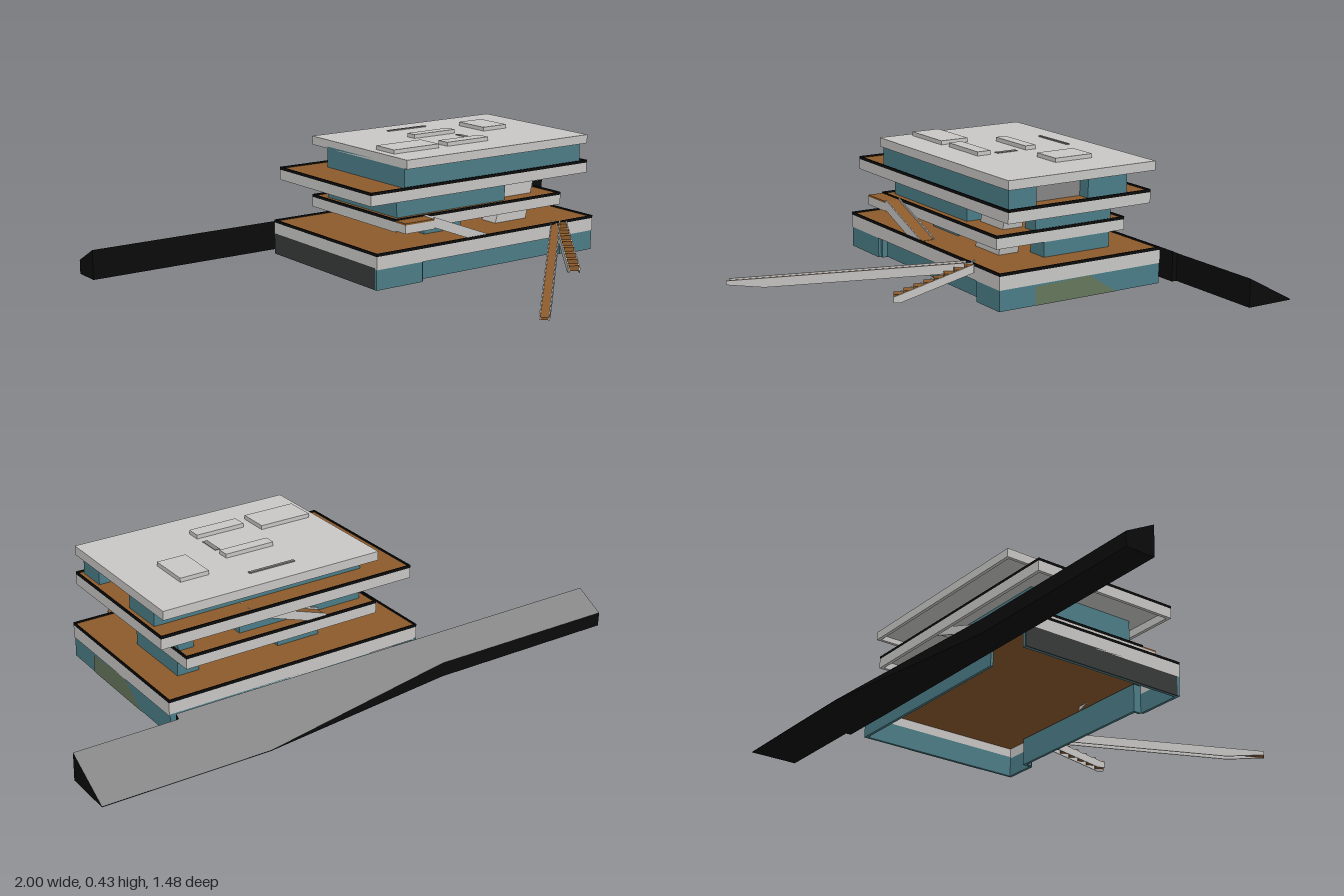
import * as THREE from 'three';

const material = (name, color, side = THREE.FrontSide) => {
  const m = new THREE.MeshStandardMaterial({ color, side });
  m.name = name;
  return m;
};

export function createModel() {
  const model = new THREE.Group();
  model.name = 'terracedHouse';
  const white = material('white render', 0xc8c7c5);
  const teal = material('teal glass', 0x4c7d88);
  const wood = material('wood deck', 0x8b5a2b);
  const black = material('black trim', 0x0b0b0b);
  const grey = material('grey concrete', 0x858585);
  const dark = material('dark cladding', 0x383a3a);
  const moss = material('moss panel', 0x66775c, THREE.DoubleSide);

  const add = (name, geometry, mat, parent = model) => {
    const mesh = new THREE.Mesh(geometry, mat);
    mesh.name = name;
    parent.add(mesh);
    return mesh;
  };
  const box = (name, mat, x0, x1, y0, y1, z0, z1, parent) => {
    const g = new THREE.BoxGeometry(x1 - x0, y1 - y0, z1 - z0);
    g.translate((x0 + x1) / 2, (y0 + y1) / 2, (z0 + z1) / 2);
    return add(name, g, mat, parent);
  };
  // Side outline in x and y, extruded from z0 to z1
  const extrude = (name, mat, points, z0, z1, parent) => {
    const shape = new THREE.Shape(points.map(([x, y]) => new THREE.Vector2(x, y)));
    const g = new THREE.ExtrudeGeometry(shape, { depth: z1 - z0, bevelEnabled: false });
    g.translate(0, 0, z0);
    return add(name, g, mat, parent);
  };
  // Rectangular frame of thickness t
  const ring = (name, mat, [x0, x1, z0, z1], y0, y1, t, parent) => {
    box(name + 'Front', mat, x0, x1, y0, y1, z1 - t, z1, parent);
    box(name + 'Back', mat, x0, x1, y0, y1, z0, z0 + t, parent);
    box(name + 'Left', mat, x1 - t, x1, y0, y1, z0 + t, z1 - t, parent);
    box(name + 'Right', mat, x0, x0 + t, y0, y1, z0 + t, z1 - t, parent);
  };
  // Floor: white fascia, deck, ceiling and thin black upstand
  const terrace = (name, rect, y0, y1, ceiling) => {
    const g = new THREE.Group();
    g.name = name;
    model.add(g);
    const [x0, x1, z0, z1] = rect, t = 0.012;
    ring('fascia', white, rect, y0, y1 - 0.01, t, g);
    ring('upstand', black, rect, y1 - 0.01, y1, 0.004, g);
    box('deck', wood, x0 + 0.004, x1 - 0.004, y1 - 0.012, y1 - 0.006, z0 + 0.004, z1 - 0.004, g);
    box('ceiling', ceiling, x0 + t, x1 - t, y1 - 0.018, y1 - 0.012, z0 + t, z1 - t, g);
  };

  // Ground floor: glass walls with a recessed front
  const w = 0.01;
  box('groundWallFrontRight', teal, -0.318, -0.13, 0, 0.075, 0.12, 0.13);
  box('groundWallFrontLeft', teal, 0.5, 0.632, 0, 0.075, 0.12, 0.13);
  box('groundWallFrontRecess', teal, -0.13, 0.5, 0, 0.1, 0.09, 0.1);
  for (const x of [-0.13, 0.49]) box('groundWallReturn', teal, x, x + w, 0, 0.1, 0.1, 0.12);
  box('groundWallBack', teal, -0.13, 0.632, 0, 0.075, -0.5, -0.49);
  box('groundWallLeft', teal, 0.622, 0.632, 0, 0.075, -0.49, 0.12);
  box('groundWallRight', teal, -0.313, -0.303, 0, 0.075, -0.5, 0.12);
  box('groundCladdingRight', dark, -0.318, -0.313, 0, 0.075, -0.5, 0.12);
  const mossShape = new THREE.Shape([[0.005, 0], [0.32, 0], [0.215, 0.07], [0.005, 0.062]]
    .map(([a, b]) => new THREE.Vector2(a, b)));
  const mossPanel = add('mossPanel', new THREE.ShapeGeometry(mossShape), moss);
  mossPanel.rotation.y = Math.PI / 2;
  mossPanel.position.x = 0.634;

  // Stacked terraces
  terrace('firstTerrace', [-0.318, 0.635, -0.5, 0.132], 0.07, 0.125, wood);
  terrace('secondTerrace', [-0.2, 0.53, -0.43, 0.075], 0.17, 0.215, white);
  terrace('thirdTerrace', [-0.318, 0.632, -0.455, 0.1], 0.278, 0.324, white);

  // First storey rooms
  box('firstRoom', teal, -0.01, 0.15, 0.118, 0.2, -0.37, -0.02);
  box('firstSideRoom', teal, 0.45, 0.528, 0.118, 0.2, -0.37, -0.11);
  // Second storey rooms
  box('secondRoom', teal, -0.17, 0.3, 0.208, 0.308, -0.375, 0.04);
  box('secondSideRoom', teal, 0.47, 0.528, 0.208, 0.308, -0.375, -0.075);
  // Third storey rooms with a recessed wall on the left side
  box('thirdRoom', teal, -0.17, 0.56, 0.316, 0.392, -0.375, 0.085);
  box('thirdFrontRoom', teal, 0.56, 0.61, 0.316, 0.392, -0.02, 0.085);
  box('thirdBackRoom', teal, 0.56, 0.61, 0.316, 0.392, -0.375, -0.22);
  box('recessWall', grey, 0.56, 0.565, 0.316, 0.392, -0.22, -0.02);

  // Slanted shaft through two storeys
  extrude('slantedShaft', white, [[0.29, 0.118], [0.43, 0.118], [0.475, 0.3], [0.35, 0.3]], -0.075, 0);

  // Roof with hollow underside and raised boxes
  const roof = [-0.17, 0.632, -0.472, 0.1];
  ring('roofRim', white, roof, 0.385, 0.408, 0.012);
  box('roofTop', white, roof[0], roof[1], 0.404, 0.416, roof[2], roof[3]);
  const roofBoxes = [[-0.14, 0.05, -0.12, -0.015], [0.09, 0.27, -0.25, -0.21],
    [0.09, 0.27, -0.07, -0.02], [0.38, 0.485, -0.325, -0.18]];
  for (const [x0, x1, z0, z1] of roofBoxes) box('roofBox', white, x0, x1, 0.414, 0.43, z0, z1);
  box('roofSlot', grey, 0.1, 0.27, 0.414, 0.42, -0.39, -0.38);
  box('roofVent', grey, 0.25, 0.268, 0.414, 0.418, -0.18, -0.1);

  // Ramp or stair running from its low end to its high end
  const flight = (name, [ax, ay, az], [bx, by, bz], width, rail, steps) => {
    const g = new THREE.Group();
    g.name = name;
    g.position.set(ax, 0, az);
    g.rotation.y = Math.atan2(az - bz, bx - ax);
    model.add(g);
    const L = Math.hypot(bx - ax, bz - az), h = width / 2;
    const foot = L * Math.max(0, rail - ay) / (by - ay);
    const low = foot > 0 && ay < rail ? [[0, 0], [foot, 0]] : [[0, ay - rail]];
    const side = [...low, [L, by - rail], [L, by + 0.006], [0, ay + 0.006]];
    for (const s of [-1, 1]) {
      const z = s * (h - 0.002);
      extrude('stringer', white, side, z - 0.002, z + 0.002, g);
    }
    if (steps) {
      for (let i = 0; i < steps; i++) {
        const y = ay + (by - ay) * (i + 1) / steps;
        box('step', wood, L * i / steps, L * (i + 1) / steps, Math.max(0, y - 0.018), y, -h + 0.004, h - 0.004, g);
      }
    } else {
      extrude('rampDeck', wood, [[0, Math.max(0, ay - 0.008)], [L, by - 0.008], [L, by], [0, ay]], -h + 0.004, h - 0.004, g);
    }
  };
  flight('longRamp', [-0.1, 0.008, 0.72], [0.47, 0.12, 0.12], 0.034, 0.026);
  flight('frontStair', [0.355, 0.012, 0.35], [0.485, 0.12, 0.13], 0.042, 0.022, 8);
  flight('terraceRamp', [0.15, 0.12, 0.102], [-0.08, 0.21, 0.102], 0.056, 0.03);
  box('rampLanding', white, -0.2, -0.08, 0.175, 0.204, 0.075, 0.13);
  box('rampLandingDeck', wood, -0.2, -0.08, 0.204, 0.21, 0.075, 0.13);
  flight('backRamp', [0.0, 0.215, -0.403], [0.3, 0.315, -0.403], 0.052, 0.025);
  extrude('backRampSoffit', white, [[0.03, 0.21], [0.3, 0.295], [0.3, 0.305], [0, 0.21]], -0.426, -0.38);

  // Embankment: cross-sections give x, front z, back z and crest height
  const sections = [[-1, -0.558, -0.66, 0.104], [-0.31, -0.556, -0.656, 0.104],
    [0.42, -0.55, -0.744, 0.104], [0.64, -0.55, -0.743, 0.104],
    [0.641, -0.568, -0.743, 0.095], [1, -0.568, -0.74, 0.095]];
  const slope = [], walls = [];
  const corners = sections.map(([x, zf, zb, y]) => [
    [x, 0, zf], [x, y, zf], [x, Math.max(0.002, y - 0.54 * (zf - zb)), zb], [x, 0, zb]]);
  const quad = (out, a, b, c, d) => out.push(...a, ...b, ...c, ...a, ...c, ...d);
  for (let i = 0; i < corners.length - 1; i++) {
    const p = corners[i], q = corners[i + 1];
    for (let k = 0; k < 4; k++) {
      const n = (k + 1) % 4;
      quad(k === 1 ? slope : walls, p[k], q[k], q[n], p[n]);
    }
  }
  const [first, last] = [corners[0], corners[corners.length - 1]];
  quad(walls, first[0], first[1], first[2], first[3]);
  quad(walls, last[3], last[2], last[1], last[0]);
  const mesh = (name, list, mat) => {
    const g = new THREE.BufferGeometry();
    g.setAttribute('position', new THREE.Float32BufferAttribute(list, 3));
    g.computeVertexNormals();
    add(name, g, mat);
  };
  mesh('embankmentSlope', slope, grey);
  mesh('embankmentWalls', walls, black);

  return model;
}
